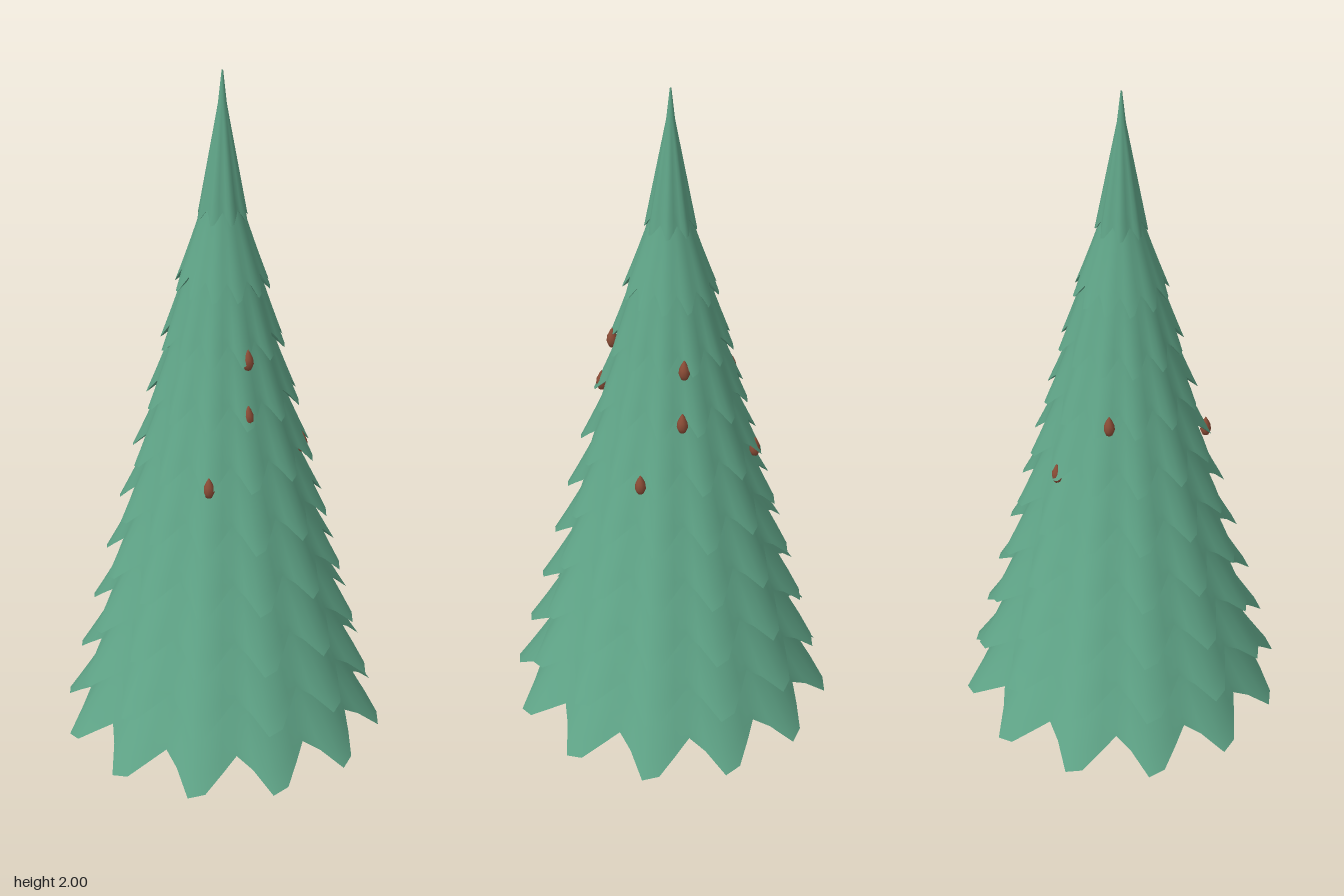
import * as THREE from 'three';

const needles = new THREE.MeshStandardMaterial({ color: 0x5fa487, side: THREE.DoubleSide });
needles.name = 'needle green';
const bark = new THREE.MeshStandardMaterial({ color: 0x8f5f49 });
bark.name = 'bark brown';
const coneBrown = new THREE.MeshStandardMaterial({ color: 0x8a4c36 });
coneBrown.name = 'cone brown';

const LOBE = [1, 0.88, 0.4, 0, 0.35]; // one blunt bough tip, sampled around the rim
const ROWS = 6;

// Surface through stacked rings, listed from top to bottom; each ring maps lobe weight w to [r, y]
function ringSurface(rings, lobes) {
  const n = lobes * LOBE.length;
  const pos = [], index = [];
  rings.forEach((ring, j) => {
    for (let i = 0; i < n; i++) {
      const phi = (i / n) * Math.PI * 2 - 0.035;
      const [r, y] = ring(LOBE[i % LOBE.length]);
      pos.push(r * Math.cos(phi), y, -r * Math.sin(phi));
      if (j === 0) continue;
      const k = (i + 1) % n;
      const c = j * n + i, d = j * n + k, a = c - n, b = d - n;
      index.push(a, c, d, a, d, b);
    }
  });
  const geo = new THREE.BufferGeometry();
  geo.setAttribute('position', new THREE.Float32BufferAttribute(pos, 3));
  geo.setIndex(index);
  geo.computeVertexNormals();
  return geo;
}

function lathe(points, segments) {
  return new THREE.LatheGeometry(points.map(([r, y]) => new THREE.Vector2(r, y)), segments);
}

function add(parent, name, geo, mat) {
  const mesh = new THREE.Mesh(geo, mat);
  mesh.name = name;
  parent.add(mesh);
  return mesh;
}

// One tier: scalloped outer skirt and the hollow underside running in to the trunk
function addTier(parent, name, { tipY, radius, valley, droop, lobes, innerY, innerR, capY, capR, curve }) {
  const group = new THREE.Group();
  group.name = name;
  parent.add(group);
  const rim = (w) => [radius * (valley + (1 - valley) * w), tipY + droop * (1 - w)];
  const rings = [() => [capR, capY]];
  for (let j = 0; j <= ROWS; j++) {
    const t = j / ROWS;
    rings.push((w) => {
      const [r, y] = rim(w);
      return [innerR + (r - innerR) * Math.pow(t, curve), innerY + (y - innerY) * t];
    });
  }
  add(group, 'skirt', ringSurface(rings, lobes), needles);
  const hub = () => [radius * 0.09, tipY + radius * 0.8];
  add(group, 'underside', ringSurface([rim, hub], lobes), needles);
}

export function createModel() {
  const tree = new THREE.Group();
  tree.name = 'firTree';

  // Trunk with a flared foot
  add(tree, 'trunk', lathe(
    [[0, 0], [0.076, 0], [0.076, 0.002], [0.062, 0.05], [0.054, 0.11], [0.05, 0.2], [0.045, 0.5], [0, 0.5]], 10), bark);

  // Nine overlapping tiers, then the pointed crown
  const boughs = new THREE.Group();
  boughs.name = 'boughs';
  tree.add(boughs);
  const tiers = [];
  for (let k = 0; k < 9; k++) {
    tiers.push({
      tipY: 0.1 + 0.1645 * k, radius: 0.448 - 0.0402 * k, valley: 0.83,
      droop: 0.09 - 0.005 * k, lobes: 12, curve: 1.1,
    });
  }
  tiers.push({
    tipY: 1.605, radius: 0.068, valley: 0.8, droop: 0.035, lobes: 8, curve: 1,
    innerY: 1.915, innerR: 0.011, capY: 2, capR: 0.002,
  });
  tiers.forEach((tier, k) => {
    const next = tiers[k + 1];
    if (next) {
      // Tuck the top edge under the skirt above
      tier.innerY = next.tipY + next.droop + 0.02;
      tier.innerR = next.radius * next.valley * 0.86;
      tier.capY = tier.innerY + 0.12;
      tier.capR = tier.innerR * 0.5;
    }
    addTier(boughs, next ? `boughTier${k + 1}` : 'crown', tier);
  });

  // Small hanging cones
  const cones = new THREE.Group();
  cones.name = 'cones';
  tree.add(cones);
  const coneGeo = lathe(
    [[0, -0.03], [0.009, -0.025], [0.015, -0.01], [0.013, 0.006], [0.006, 0.022], [0, 0.032]], 10);
  [
    [0.015, 1.265, 0.152], [0.138, 1.265, -0.055],
    [0.005, 1.12, 0.184], [0.17, 1.12, -0.055], [-0.117, 1.12, -0.147],
    [-0.112, 0.94, 0.206], [0.211, 0.94, 0.05], [0, 0.94, -0.228],
  ].forEach((p) => add(cones, 'cone', coneGeo, coneBrown).position.set(...p));

  return tree;
}
